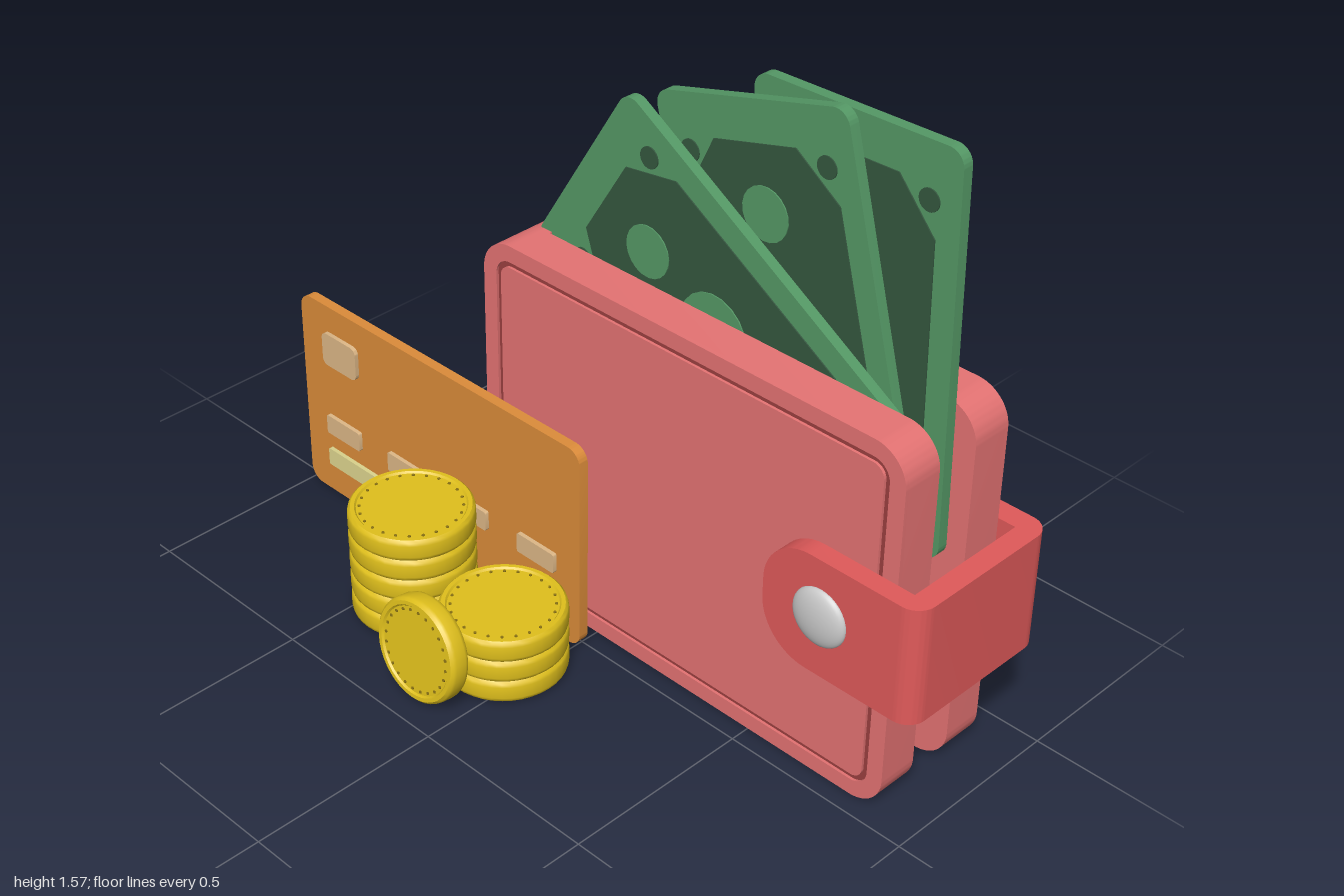
import * as THREE from 'three';
import { toCreasedNormals } from 'three/addons/utils/BufferGeometryUtils.js';

const mat = (color) => new THREE.MeshStandardMaterial({ color });
const M = {
  leather: mat(0xe57373), stitch: mat(0x9c4040), strap: mat(0xe05a5a), metal: mat(0xcccccc),
  bill: mat(0x559966), billDark: mat(0x35573f), card: mat(0xdc8c3a), chip: mat(0xdeb887),
  stripe: mat(0xe0d890), gold: mat(0xe0c01c), goldDark: mat(0x8c7414),
};

// Rounded rectangle with separate radii for its left and right corners
function roundRect(x0, y0, x1, y1, rl, rr = rl, Type = THREE.Shape) {
  const s = new Type();
  s.moveTo(x0 + rl, y0);
  s.lineTo(x1 - rr, y0);
  if (rr) s.absarc(x1 - rr, y0 + rr, rr, -Math.PI / 2, 0, false);
  s.lineTo(x1, y1 - rr);
  if (rr) s.absarc(x1 - rr, y1 - rr, rr, 0, Math.PI / 2, false);
  s.lineTo(x0 + rl, y1);
  if (rl) s.absarc(x0 + rl, y1 - rl, rl, Math.PI / 2, Math.PI, false);
  s.lineTo(x0, y0 + rl);
  if (rl) s.absarc(x0 + rl, y0 + rl, rl, Math.PI, Math.PI * 1.5, false);
  return s;
}

function add(parent, name, geometry, material) {
  const mesh = new THREE.Mesh(geometry, material);
  mesh.name = name;
  parent.add(mesh);
  return mesh;
}

// Flat plate extruded from z0 to z1
function plate(parent, name, shape, z0, z1, material) {
  const geo = new THREE.ExtrudeGeometry(shape, { depth: z1 - z0, bevelEnabled: false, curveSegments: 10 });
  geo.translate(0, 0, z0);
  return add(parent, name, toCreasedNormals(geo, 0.5), material);
}

function disc(x, y, r) {
  return new THREE.Shape().absarc(x, y, r, 0, Math.PI * 2, false);
}

function ring(outer, hole) {
  outer.holes.push(hole);
  return outer;
}

// Wallet: two grooved covers joined by a spine on the right-hand side
function makeWallet() {
  const g = new THREE.Group();
  g.name = 'wallet';
  const outline = (i, Type) => roundRect(-0.38 + i, 0.005 + i, 0.9 - i, 0.975 - i, 0.09 - i, 0.09 - i, Type);
  for (const side of [1, -1]) {
    const cover = new THREE.Group();
    cover.name = side > 0 ? 'frontCover' : 'backCover';
    plate(cover, 'coverBody', outline(0), 0.06, 0.16, M.leather);
    plate(cover, 'coverRim', ring(outline(0), outline(0.043, THREE.Path)), 0.16, 0.17, M.leather);
    plate(cover, 'coverPanel', outline(0.058), 0.16, 0.17, M.leather);
    plate(cover, 'groove', ring(outline(0.043), outline(0.058, THREE.Path)), 0.16, 0.163, M.stitch);
    // the rim shape is symmetric top to bottom, so a half turn about x gives the back cover
    if (side < 0) {
      cover.rotation.x = Math.PI;
      cover.position.y = 0.98;
    }
    cover.position.z = -0.22;
    g.add(cover);
  }
  plate(g, 'spine', roundRect(-0.38, 0.005, -0.27, 0.975, 0.09, 0), -0.28, -0.16, M.leather);
  return g;
}

// Closing strap wrapped round the open side, with a domed snap
function makeStrap() {
  const g = new THREE.Group();
  g.name = 'strap';
  plate(g, 'frontTab', roundRect(0.57, 0.335, 0.94, 0.645, 0.13, 0), -0.05, 0, M.strap);
  plate(g, 'backTab', roundRect(0.57, 0.335, 0.94, 0.645, 0.025, 0), -0.45, -0.392, M.strap);
  const c = new THREE.Shape();
  c.moveTo(0.94, 0);
  c.lineTo(0.95, 0);
  c.absarc(0.95, 0.05, 0.05, -Math.PI / 2, 0, false);
  c.lineTo(1, 0.4);
  c.absarc(0.95, 0.4, 0.05, 0, Math.PI / 2, false);
  c.lineTo(0.94, 0.45);
  c.lineTo(0.94, 0.392);
  c.lineTo(0.945, 0.392);
  c.lineTo(0.945, 0.05);
  c.lineTo(0.94, 0.05);
  const bend = plate(g, 'strapBend', c, 0, 0.31, M.strap);
  bend.rotation.x = -Math.PI / 2;
  bend.position.y = 0.335;
  const dome = add(g, 'snap', new THREE.SphereGeometry(0.075, 32, 10, 0, Math.PI * 2, 0, Math.PI / 2), M.metal);
  dome.scale.y = 0.33;
  dome.rotation.x = Math.PI / 2;
  dome.position.set(0.735, 0.495, 0);
  return g;
}

// Banknote lying lengthwise along local x
function makeBill(name, x, y, z, degrees) {
  const g = new THREE.Group();
  g.name = name;
  plate(g, 'paper', roundRect(-0.5, -0.28, 0.5, 0.28, 0.04), -0.015, 0.013, M.bill);
  const field = [[-0.4, -0.12], [-0.28, -0.22], [0.28, -0.22], [0.4, -0.12],
    [0.4, 0.12], [0.28, 0.22], [-0.28, 0.22], [-0.4, 0.12]].map((p) => new THREE.Vector2(...p));
  plate(g, 'printedField', new THREE.Shape(field), 0.013, 0.016, M.billDark);
  for (const sx of [-1, 1]) {
    plate(g, 'sideCircle', disc(sx * 0.24, 0, 0.066), 0.016, 0.019, M.bill);
    for (const sy of [-1, 1]) plate(g, 'cornerDot', disc(sx * 0.365, sy * 0.2, 0.027), 0.013, 0.016, M.billDark);
  }
  plate(g, 'medallion', disc(0, 0, 0.1), 0.016, 0.019, M.bill);
  g.rotation.z = THREE.MathUtils.degToRad(degrees);
  g.position.set(x, y, z);
  return g;
}

// Bank card standing beside the wallet
function makeCard() {
  const g = new THREE.Group();
  g.name = 'card';
  plate(g, 'cardBody', roundRect(-1, 0.005, 0.018, 0.58, 0.04), -0.002, 0.025, M.card);
  plate(g, 'chip', roundRect(-0.91, 0.41, -0.78, 0.505, 0.018), 0.025, 0.036, M.chip);
  for (let i = 0; i < 4; i++) {
    const x = -0.91 + i * 0.24;
    plate(g, 'numberBlock', roundRect(x, 0.195, x + 0.128, 0.25, 0.005), 0.025, 0.036, M.chip);
  }
  plate(g, 'nameStripe', roundRect(-0.91, 0.095, -0.45, 0.145, 0.004), 0.025, 0.036, M.stripe);
  return g;
}

// Coin with rounded edge, raised rims and a ring of small beads
function makeCoin(r, h) {
  const g = new THREE.Group();
  g.name = 'coin';
  const k = h / 2;
  const profile = [[0, -k + 0.005], [r - 0.022, -k + 0.005], [r - 0.018, -k], [r - 0.008, -k], [r - 0.002, -k + 0.006],
    [r, -k + 0.014], [r, k - 0.014], [r - 0.002, k - 0.006], [r - 0.008, k], [r - 0.018, k],
    [r - 0.022, k - 0.005], [0, k - 0.005]].map((p) => new THREE.Vector2(...p));
  add(g, 'coinBody', toCreasedNormals(new THREE.LatheGeometry(profile, 40), 0.7), M.gold);
  const bead = new THREE.CylinderGeometry(0.004, 0.004, h - 0.005, 6);
  for (let i = 0; i < 24; i++) {
    const a = (i / 24) * Math.PI * 2;
    add(g, 'bead', bead, M.goldDark).position.set(Math.cos(a) * (r - 0.03), 0, Math.sin(a) * (r - 0.03));
  }
  return g;
}

function makeCoinStack(name, x, z, count) {
  const g = new THREE.Group();
  g.name = name;
  for (let i = 0; i < count; i++) {
    const coin = makeCoin(0.157, 0.06);
    coin.position.set(x, 0.035 + i * 0.06, z);
    coin.rotation.y = i * 0.4;
    g.add(coin);
  }
  return g;
}

export function createModel() {
  const model = new THREE.Group();
  model.name = 'walletWithMoney';
  model.add(
    makeWallet(),
    makeStrap(),
    makeBill('frontBill', 0.25, 0.93, -0.18, -31.4),
    makeBill('middleBill', 0.417, 1.028, -0.22, -74.7),
    makeBill('backBill', 0.558, 1.063, -0.263, -88.5),
    makeCard(),
    makeCoinStack('tallCoinStack', -0.4, 0.188, 5),
    makeCoinStack('shortCoinStack', -0.075, 0.188, 3),
  );
  // Single coin leaning back against the stacks
  const leaning = makeCoin(0.135, 0.055);
  leaning.name = 'leaningCoin';
  leaning.rotation.x = Math.PI / 2 - 0.13;
  leaning.position.set(-0.125, 0.138, 0.4);
  model.add(leaning);
  return model;
}
